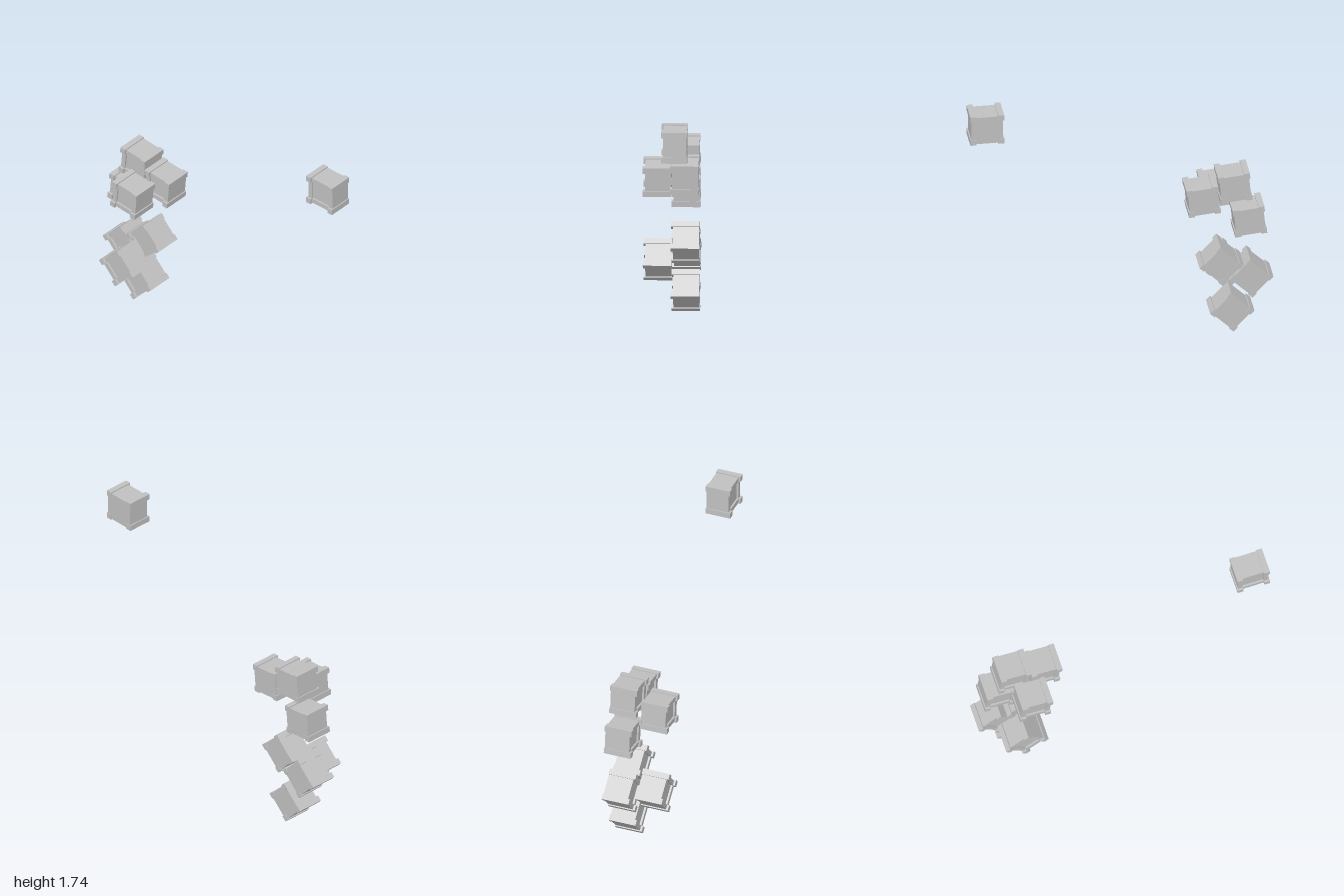
import * as THREE from 'three';

const grey = new THREE.MeshStandardMaterial({ color: 0xc0c0c0 });
grey.name = 'plain grey';

function box(parent, name, w, h, d, x, y, z) {
  const mesh = new THREE.Mesh(new THREE.BoxGeometry(w, h, d), grey);
  mesh.name = name;
  mesh.position.set(x, y, z);
  parent.add(mesh);
}

// One crate: sx, sy are the distances between corner bars, depth is the bar length
function makeCrate(name, sx, sy, depth) {
  const crate = new THREE.Group();
  crate.name = name;
  const bar = 0.039, lip = 0.014, recess = 0.013;
  const w = sx + 0.024, h = sy + 0.024;
  const front = depth / 2 - lip, back = -depth / 2 + 0.003;
  const panel = front - recess;

  // Body, ending at the recessed front panel
  box(crate, 'body', w, h, panel - back, 0, 0, (panel + back) / 2);

  // Long bars along the four edges running front to back
  for (const i of [-1, 1]) {
    for (const j of [-1, 1]) {
      box(crate, 'cornerBar', bar, bar, depth, i * sx / 2, j * sy / 2, 0);
    }
  }

  // Front frame planks between the bars
  const pw = (w - sx + bar) / 2, ph = (h - sy + bar) / 2;
  for (const s of [-1, 1]) {
    box(crate, 'uprightPlank', pw, sy - bar, recess, s * (w - pw) / 2, 0, front - recess / 2);
    box(crate, 'crossPlank', sx - bar, ph, recess, 0, s * (h - ph) / 2, front - recess / 2);
  }
  return crate;
}

export function createModel() {
  const model = new THREE.Group();
  model.name = 'crates';

  // name, x, y, z, tilt in degrees
  const stacked = [
    ['upperTopCrate', -0.749, 1.07, -0.088, -5.4],
    ['upperSideCrate', -0.54, 0.988, -0.088, -5.4],
    ['upperFrontCrate', -0.663, 0.936, 0.094, -5.4],
    ['upperLowCrate', -0.845, 0.813, -0.088, -5.4],
    ['lowerBottomCrate', -0.729, 0.144, -0.088, 43.5],
    ['lowerFrontCrate', -0.727, 0.353, 0.094, 43.5],
    ['lowerTopCrate', -0.659, 0.492, -0.088, 43.5],
    ['lowerSideCrate', -0.855, 0.388, -0.088, 43.5],
  ];
  for (const [name, x, y, z, tilt] of stacked) {
    const crate = makeCrate(name, 0.172, 0.162, 0.188);
    crate.position.set(x, y, z);
    crate.rotation.z = THREE.MathUtils.degToRad(tilt);
    model.add(crate);
  }

  // Lone crate high on the other side
  const lone = makeCrate('loneCrate', 0.184, 0.172, 0.172);
  lone.position.set(0.884, 1.636, -0.066);
  model.add(lone);

  return model;
}
